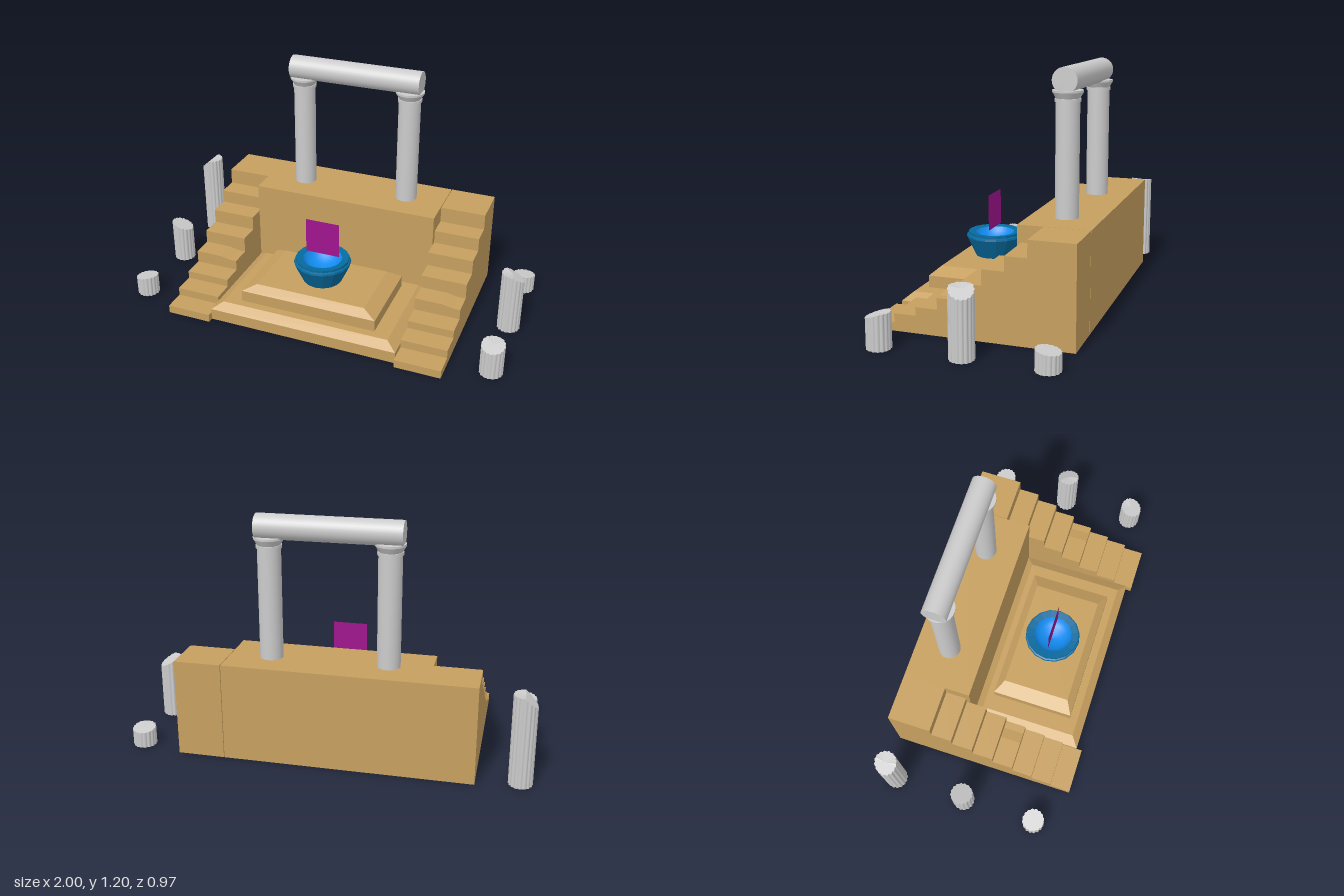
import * as THREE from 'three';

const mat = (color, extra = {}) => new THREE.MeshStandardMaterial({ color, ...extra });

export function createModel() {
  const root = new THREE.Group();
  const stone = mat(0xcccccc);
  const sand = mat(0xc69f5f);
  const bowlBlue = mat(0x066b9f, { flatShading: true, side: THREE.DoubleSide });
  const waterBlue = mat(0x128cf0, { side: THREE.DoubleSide });
  const purple = mat(0x9f148e, { side: THREE.DoubleSide });

  const add = (name, geometry, material, x = 0, y = 0, z = 0, parent = root) => {
    const mesh = new THREE.Mesh(geometry, material);
    mesh.name = name;
    mesh.position.set(x, y, z);
    parent.add(mesh);
    return mesh;
  };

  // Back terrace between the stairs, with a hairline joint on the left
  add('terrace', new THREE.BoxGeometry(0.996, 0.49, 0.35), sand, -0.002, 0.245, -0.313);

  // Stairs: stepped side profile extruded across, with one worn tread
  const heights = [0.042, 0.085, 0.126, 0.181, 0.262, 0.337, 0.407, 0.49];
  const front = 0.486, run = 0.1075, stairWidth = 0.234;
  const riserZ = (i) => front - i * run;
  const profile = new THREE.Shape().moveTo(-front, 0);
  heights.forEach((h, i) => {
    profile.lineTo(-riserZ(i), h);
    profile.lineTo(i < heights.length - 1 ? -riserZ(i + 1) : 0.488, h);
  });
  profile.lineTo(0.488, 0);
  const stairGeometry = new THREE.ExtrudeGeometry(profile, { depth: stairWidth, bevelEnabled: false });
  stairGeometry.rotateY(Math.PI / 2);
  const treadShape = new THREE.Shape();
  treadShape.moveTo(0, 0.17).lineTo(0.195, 0.17).lineTo(0.195, 0.181).lineTo(0.14, 0.192).lineTo(0, 0.192);
  const treadGeometry = new THREE.ExtrudeGeometry(treadShape, { depth: run, bevelEnabled: false });
  [['rightStairs', -0.733], ['leftStairs', 0.499]].forEach(([name, x]) => {
    const stairs = new THREE.Group();
    stairs.name = name;
    stairs.position.x = x;
    add('steps', stairGeometry, sand, 0, 0, 0, stairs);
    add('wornTread', treadGeometry, sand, 0, 0, riserZ(4), stairs);
    root.add(stairs);
  });

  // Dais: two tiers, each a slab with a sloped upper edge
  const tier = (name, x0, x1, z0, z1, y, insetX, insetZ) => {
    const w = x1 - x0, d = z1 - z0, xc = (x0 + x1) / 2, zc = (z0 + z1) / 2;
    const slab = 0.06, slope = 0.035;
    const group = new THREE.Group();
    group.name = name;
    add('slab', new THREE.BoxGeometry(w, slab, d), sand, xc, y + slab / 2, zc, group);
    const cap = new THREE.BoxGeometry(w, slope, d);
    const p = cap.attributes.position;
    for (let i = 0; i < p.count; i++) {
      if (p.getY(i) > 0) {
        p.setX(i, p.getX(i) - Math.sign(p.getX(i)) * insetX);
        p.setZ(i, p.getZ(i) - Math.sign(p.getZ(i)) * insetZ);
      }
    }
    cap.computeVertexNormals();
    add('slopedCap', cap, sand, xc, y + slab + slope / 2, zc, group);
    root.add(group);
  };
  tier('lowerDais', -0.5, 0.496, -0.141, 0.456, 0, 0.053, 0.041);
  tier('upperDais', -0.361, 0.361, -0.061, 0.373, 0.095, 0.07, 0.039);

  // Bowl with stepped flat rim, and the bright hollow inside
  const lathe = (points, sides) =>
    new THREE.LatheGeometry(points.map(([r, y]) => new THREE.Vector2(r, y)), sides);
  add('bowl', lathe([[0, 0.19], [0.1, 0.19], [0.147, 0.292], [0.145, 0.302], [0.137, 0.305],
    [0.137, 0.317], [0.101, 0.312]], 16), bowlBlue, 0, 0, 0.156);
  add('bowlHollow', lathe([[0, 0.25], [0.035, 0.254], [0.07, 0.27], [0.09, 0.29], [0.101, 0.312]], 32),
    waterBlue, 0, 0, 0.156);

  // Panel floating above the bowl
  add('floatingPanel', new THREE.PlaneGeometry(0.18, 0.185), purple, 0, 0.428, 0.156);

  // Gateway: two columns with flared capitals and a round lintel
  for (const side of [-1, 1]) {
    const column = new THREE.Group();
    column.name = side > 0 ? 'leftColumn' : 'rightColumn';
    column.position.set(side * 0.29, 0, -0.316);
    add('shaft', new THREE.CylinderGeometry(0.057, 0.057, 0.57, 24), stone, 0, 0.765, 0, column);
    add('collar', new THREE.CylinderGeometry(0.062, 0.062, 0.016, 24), stone, 0, 1.047, 0, column);
    add('capital', new THREE.CylinderGeometry(0.073, 0.056, 0.03, 24), stone, 0, 1.068, 0, column);
    add('capitalTop', new THREE.CylinderGeometry(0.074, 0.074, 0.01, 24), stone, 0, 1.088, 0, column);
    root.add(column);
  }
  const lintel = new THREE.CylinderGeometry(0.061, 0.061, 0.704, 32).rotateZ(Math.PI / 2);
  add('lintel', lintel, stone, -0.002, 1.141, -0.316);

  // Broken columns: ribbed stumps cut by a slanted plane, level above a limit
  const stump = (x, z, limit, mid, slopeX, slopeZ) => {
    const g = new THREE.CylinderGeometry(0.058, 0.058, 1, 96);
    const p = g.attributes.position;
    for (let i = 0; i < p.count; i++) {
      const a = Math.atan2(p.getZ(i), p.getX(i));
      const k = 0.91 + 0.09 * Math.abs(Math.cos(8 * a));
      const px = p.getX(i) * k, pz = p.getZ(i) * k;
      const top = Math.min(limit, mid + slopeX * px + slopeZ * pz);
      p.setXYZ(i, px, p.getY(i) > 0 ? top : 0, pz);
    }
    g.computeVertexNormals();
    add('brokenColumn', g, stone, x, 0, z);
  };
  stump(-0.942, -0.428, 0.455, 0.45, 0.9, 0);
  stump(-0.942, -0.043, 0.23, 0.21, -0.35, 0.1);
  stump(-0.942, 0.349, 0.11, 0.1, 0.15, 0.1);
  stump(0.942, -0.428, 0.098, 0.09, 0, 0.16);
  stump(0.942, -0.043, 0.324, 0.312, -0.5, 0.25);
  stump(0.942, 0.349, 0.17, 0.16, 0, -0.3);

  return root;
}
